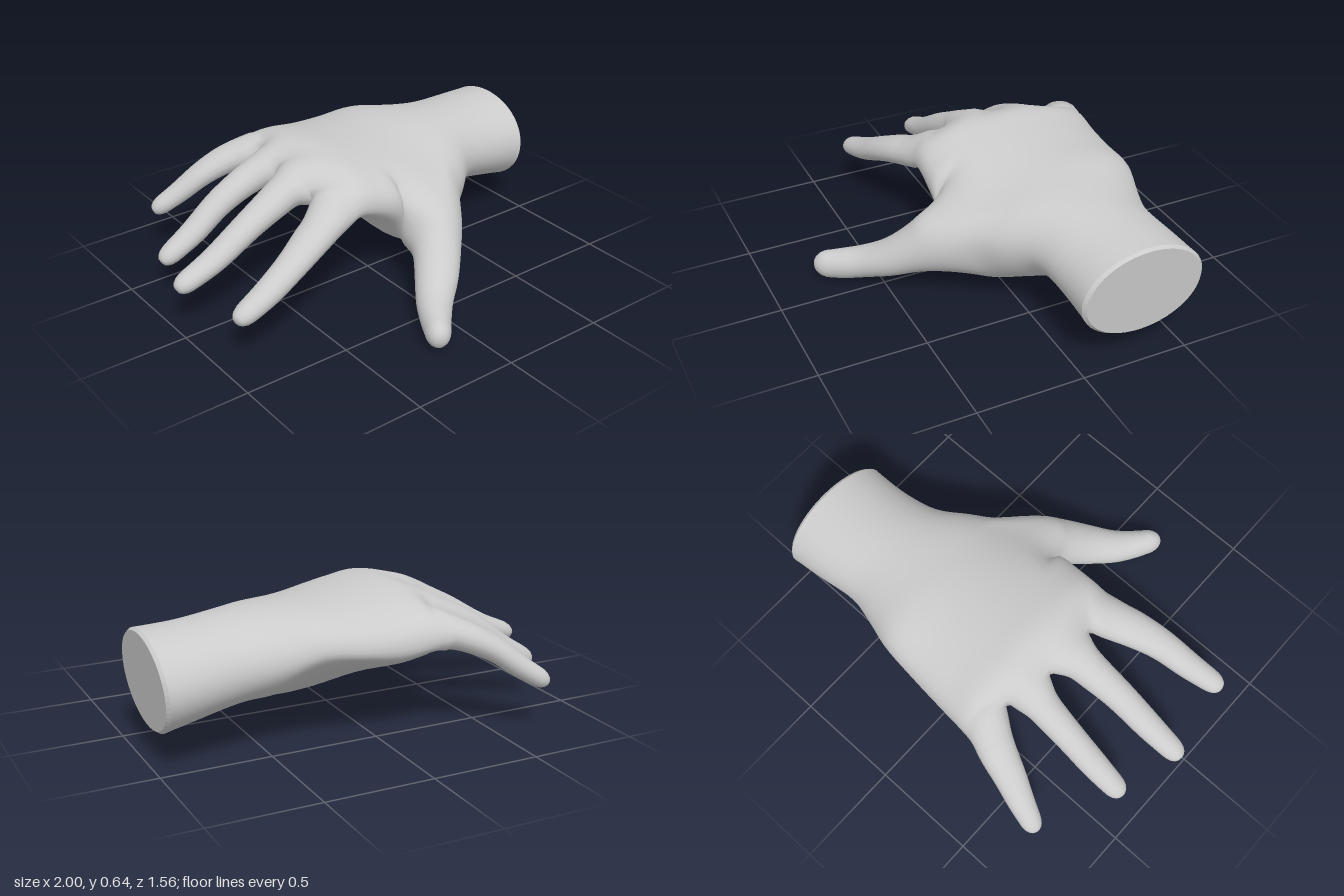
import * as THREE from 'three';

const COLS = 52;   // points round the palm
const SPAN = 6;    // palm columns per finger
const STEPS = 5;   // rows between two control sections

// Palm sections, wrist to knuckles:
// x, zMin, zMax, midY, topHeight, bottomHeight, tilt, thumbSideBulge, lean, power (below 1 is boxier)
const PALM = [
  [0.968, -0.572, 0.01, 0.35, 0.22, 0.22, 0, 0, 0.08, 1],
  [0.8, -0.557, 0.01, 0.365, 0.21, 0.2, 0, 0, 0, 1],
  [0.6, -0.54, 0.045, 0.39, 0.2, 0.19, 0, 0, 0, 1],
  [0.45, -0.575, 0.16, 0.39, 0.21, 0.22, -0.03, 0.2, 0, 1],
  [0.3, -0.62, 0.25, 0.4, 0.205, 0.25, -0.06, 0.5, 0, 1],
  [0.12, -0.64, 0.25, 0.42, 0.195, 0.24, -0.025, 0.55, 0, 0.95],
  [-0.05, -0.655, 0.245, 0.44, 0.19, 0.155, 0, 0.1, 0, 0.9],
  [-0.2, -0.668, 0.238, 0.463, 0.176, 0.108, 0.01, 0, 0, 0.85],
];

// Outer knuckle edges and the three webs between the fingers
const WEBS = [
  [-0.28, 0.45, 0.24], [-0.33, 0.495, 0.04], [-0.335, 0.515, -0.23], [-0.28, 0.495, -0.455], [-0.25, 0.46, -0.668],
].map((p) => new THREE.Vector3(...p));
const KNUCKLE_RISE = [0, 0.02, 0.01, 0.005];

// Digit stations: x, y, z, half width, half thickness
const FINGERS = {
  indexFinger: [[-0.39, 0.427, 0.18, 0.094, 0.073], [-0.47, 0.403, 0.212, 0.088, 0.067], [-0.6, 0.35, 0.255, 0.075, 0.06], [-0.75, 0.28, 0.285, 0.065, 0.055], [-0.88, 0.237, 0.31, 0.053, 0.046]],
  middleFinger: [[-0.4, 0.495, -0.088, 0.095, 0.078], [-0.48, 0.46, -0.082, 0.083, 0.07], [-0.62, 0.395, -0.07, 0.072, 0.061], [-0.8, 0.295, -0.063, 0.065, 0.053], [-0.948, 0.235, -0.06, 0.053, 0.045]],
  ringFinger: [[-0.4, 0.475, -0.35, 0.083, 0.073], [-0.48, 0.44, -0.356, 0.075, 0.067], [-0.6, 0.375, -0.36, 0.068, 0.06], [-0.73, 0.28, -0.36, 0.064, 0.054], [-0.86, 0.205, -0.36, 0.053, 0.045]],
  littleFinger: [[-0.33, 0.462, -0.602, 0.091, 0.071], [-0.4, 0.435, -0.634, 0.084, 0.064], [-0.5, 0.38, -0.669, 0.073, 0.056], [-0.6, 0.303, -0.707, 0.061, 0.05], [-0.69, 0.243, -0.738, 0.048, 0.043]],
};
const THUMB = [
  [0.157, 0.265, 0.28, 0.143, 0.16], [0.105, 0.225, 0.378, 0.112, 0.113], [0.025, 0.155, 0.475, 0.098, 0.086],
  [-0.065, 0.103, 0.57, 0.081, 0.074], [-0.13, 0.076, 0.66, 0.066, 0.072], [-0.17, 0.067, 0.722, 0.055, 0.065],
];

// Every section runs from the +z side over the top, then back underneath
function palmSection([x, z0, z1, mid, top, bottom, tilt, bulge, lean, power]) {
  return Array.from({ length: COLS }, (_, k) => {
    const a = (2 * Math.PI * k) / COLS, c = Math.cos(a), s = Math.sin(a);
    const height = Math.abs(s) ** power;
    const y = mid + tilt * c + (s > 0 ? top * height : -bottom * height * (1 + bulge * c));
    return new THREE.Vector3(x + lean * (y - mid), y, (z0 + z1) / 2 + ((z1 - z0) / 2) * c);
  });
}

// Last palm section: four knuckle mounds joined at the webs
function knuckleSection() {
  const row = [], last = COLS / 2 - 2;
  for (let j = 0; j <= last; j++) {
    const i = Math.min(3, Math.floor(j / SPAN)), t = j / SPAN - i, bump = Math.sin(Math.PI * t);
    const p = WEBS[i].clone().lerp(WEBS[i + 1], t);
    p.y += KNUCKLE_RISE[i] * bump;
    const base = j === 0 || j === last ? 0.03 : 0.045;
    const half = base + (0.085 - base) * Math.sqrt(Math.max(0, bump));
    row[j + 1] = p.clone().setY(p.y + half);
    row[COLS - 1 - j] = p.clone().setY(p.y - half);
  }
  row[0] = WEBS[0].clone().add(new THREE.Vector3(0, 0, 0.01));
  row[last + 2] = WEBS[4].clone().add(new THREE.Vector3(0, 0, -0.008));
  return row;
}

// Smooth rows of points through control sections of equal size
function refine(sections) {
  const curves = sections[0].map((_, k) => new THREE.CatmullRomCurve3(sections.map((s) => s[k])));
  const n = (sections.length - 1) * STEPS;
  return Array.from({ length: n + 1 }, (_, i) => curves.map((c) => c.getPoint(i / n)));
}

export function createModel() {
  const points = [], parts = {};
  const add = (p) => points.push(p) - 1;

  function bridge(faces, a, b, skip = () => false) {
    const n = a.length;
    for (let k = 0; k < n; k++) {
      const m = (k + 1) % n;
      if (!skip(k)) faces.push(a[k], a[m], b[m], a[k], b[m], b[k]);
    }
  }

  // A digit grows out of a loop of skin points and ends in a dome
  function digit(name, loop, stations) {
    const faces = (parts[name] = []), n = loop.length;
    const start = loop.map((i) => points[i]);
    const root = start.reduce((s, p) => s.add(p), new THREE.Vector3()).divideScalar(n);
    const centres = [root, ...stations.map((s) => new THREE.Vector3(s[0], s[1], s[2]))];
    let dir;
    const ring = (c, w, h) => {
      const side = new THREE.Vector3(dir.z, 0, -dir.x).normalize();
      const up = dir.clone().cross(side);
      return Array.from({ length: n }, (_, k) => {
        const a = (2 * Math.PI * k) / n;
        return c.clone().addScaledVector(side, w * Math.cos(a)).addScaledVector(up, h * Math.sin(a));
      });
    };
    const sections = [start, ...stations.map(([, , , w, h], i) => {
      const next = centres[Math.min(i + 2, centres.length - 1)];
      dir = next.clone().sub(centres[i]).normalize();
      return ring(centres[i + 1], w, h);
    })];
    const rows = refine(sections).slice(1);
    const tip = centres[centres.length - 1], [, , , w, h] = stations[stations.length - 1];
    for (const deg of [25, 48, 70]) {
      const a = THREE.MathUtils.degToRad(deg), f = Math.cos(a);
      rows.push(ring(tip.clone().addScaledVector(dir, w * Math.sin(a)), w * f, h * f));
    }
    let prev = loop;
    for (const row of rows) {
      const ids = row.map(add);
      bridge(faces, prev, ids);
      prev = ids;
    }
    const pole = add(tip.clone().addScaledVector(dir, w));
    prev.forEach((id, k) => faces.push(id, prev[(k + 1) % n], pole));
  }

  // Palm and wrist, with an opening on the side for the thumb
  const palm = refine([...PALM.map(palmSection), knuckleSection()]).map((row) => row.map(add));
  const from = 17, to = 28, reach = 6;
  parts.palm = [];
  for (let i = 0; i + 1 < palm.length; i++) {
    bridge(parts.palm, palm[i], palm[i + 1],
      (k) => i >= from && i < to && (k < reach || k >= COLS - reach));
  }

  // Thumb, from the rim of the opening
  const rim = [], at = (i, k) => rim.push(palm[i][(k + COLS) % COLS]);
  for (let k = 0; k < reach; k++) at(from, k);
  for (let i = from; i < to; i++) at(i, reach);
  for (let k = reach; k > -reach; k--) at(to, k);
  for (let i = to; i > from; i--) at(i, -reach);
  for (let k = -reach; k < 0; k++) at(from, k);
  digit('thumb', rim, THUMB);

  // Fingers, sharing one web point with each neighbour
  const edge = palm[palm.length - 1];
  const webIds = WEBS.map((p, i) => (i === 0 ? edge[0] : i === 4 ? edge[COLS / 2] : add(p.clone())));
  Object.entries(FINGERS).forEach(([name, stations], i) => {
    const loop = [webIds[i]];
    for (let j = 0; j <= SPAN; j++) loop.push(edge[i * SPAN + j + 1]);
    loop.push(webIds[i + 1]);
    for (let j = SPAN; j >= 0; j--) loop.push(edge[COLS - 1 - i * SPAN - j]);
    digit(name, loop, stations);
  });

  // Relax the joined skin without shrinking it; the wrist rim stays put
  const all = Object.values(parts).flat();
  const near = points.map(() => new Set());
  for (let f = 0; f < all.length; f += 3) {
    for (let e = 0; e < 3; e++) {
      const a = all[f + e], b = all[f + ((e + 1) % 3)];
      near[a].add(b);
      near[b].add(a);
    }
  }
  for (let pass = 0; pass < 24; pass++) {
    const amount = pass % 2 ? -0.52 : 0.5;
    const moved = points.map((p, i) => {
      if (i < COLS) return p.clone();
      const mean = new THREE.Vector3();
      near[i].forEach((j) => mean.add(points[j]));
      return p.clone().lerp(mean.divideScalar(near[i].size), amount);
    });
    moved.forEach((p, i) => points[i].copy(p));
  }

  // One set of normals for the whole skin keeps the joints seamless
  const skin = new THREE.BufferGeometry().setFromPoints(points);
  skin.setIndex(all);
  skin.computeVertexNormals();
  const material = new THREE.MeshStandardMaterial({ color: 0xcccccc });
  const group = new THREE.Group();
  group.name = 'hand';
  const addMesh = (name, geometry) => {
    const mesh = new THREE.Mesh(geometry, material);
    mesh.name = name;
    group.add(mesh);
  };
  for (const [name, faces] of Object.entries(parts)) {
    const geometry = new THREE.BufferGeometry();
    geometry.setAttribute('position', skin.getAttribute('position'));
    geometry.setAttribute('normal', skin.getAttribute('normal'));
    geometry.setIndex(faces);
    addMesh(name, geometry);
  }

  // Flat wrist end with a narrow bevel
  const outer = palm[0].map((i) => points[i]);
  const middle = new THREE.Vector3(0.983, 0.35, -0.281);
  const inner = outer.map((p) => p.clone().setX(p.x + 0.015).lerp(middle, 0.05));
  const cap = [];
  outer.forEach((p, k) => {
    const m = (k + 1) % COLS;
    cap.push(p, inner[m], outer[m], p, inner[k], inner[m], middle, inner[m], inner[k]);
  });
  const capGeometry = new THREE.BufferGeometry().setFromPoints(cap);
  capGeometry.computeVertexNormals();
  addMesh('wristEnd', capGeometry);
  return group;
}
